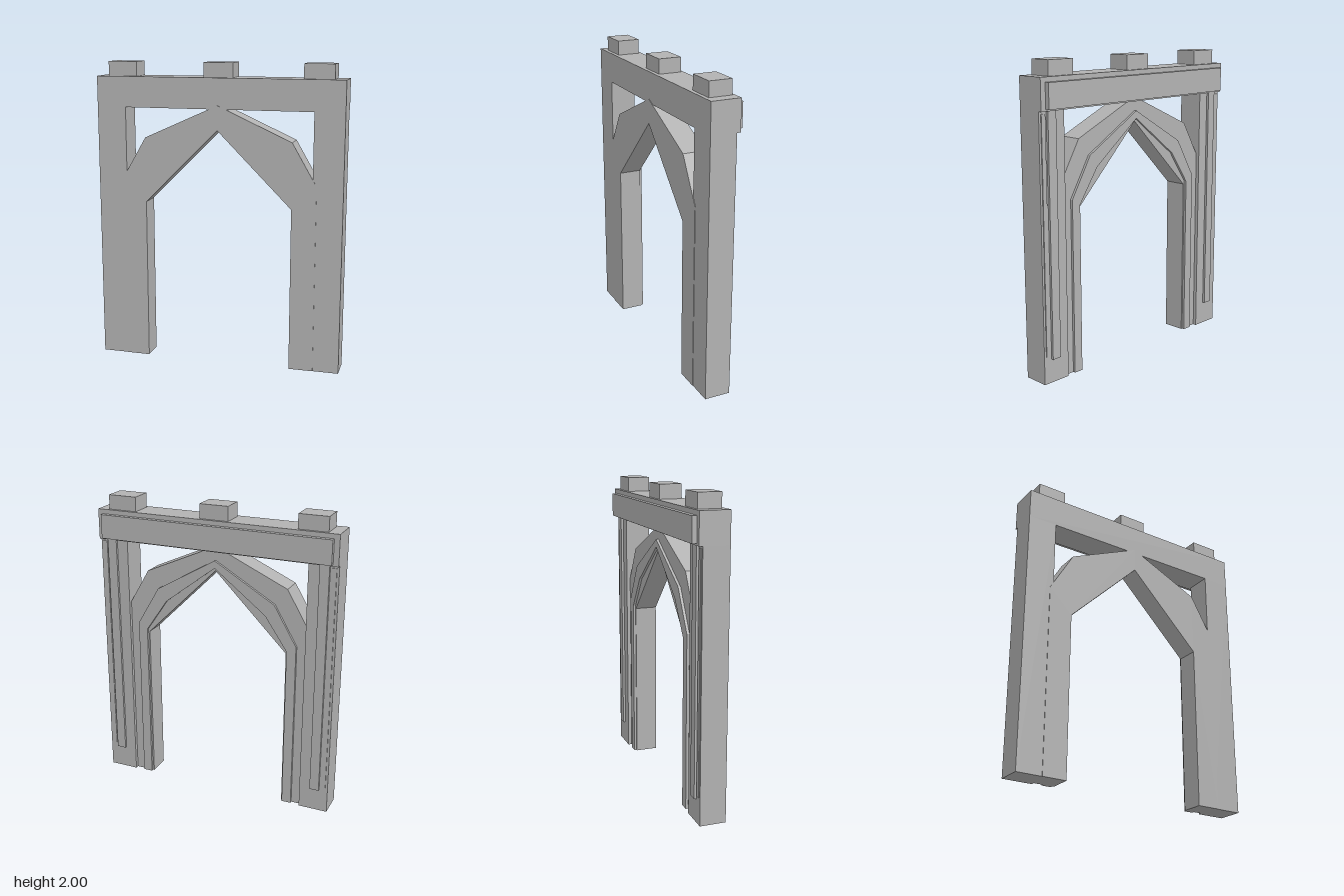
import * as THREE from 'three';

const stone = new THREE.MeshStandardMaterial({ color: 0xb2b2b2 });
stone.name = 'stone grey';

// Box given by its limits on each axis
function block(name, x0, x1, y0, y1, z0, z1) {
  const mesh = new THREE.Mesh(new THREE.BoxGeometry(x1 - x0, y1 - y0, z1 - z0), stone);
  mesh.position.set((x0 + x1) / 2, (y0 + y1) / 2, (z0 + z1) / 2);
  mesh.name = name;
  return mesh;
}

// Symmetric band: half profiles run from the foot to the apex (x = 0)
function archBand(name, outer, inner, z0, z1) {
  const full = half => [...half, ...half.slice(0, -1).reverse().map(([x, y]) => [-x, y])];
  const points = [...full(outer), ...full(inner).reverse()].map(([x, y]) => new THREE.Vector2(x, y));
  const geometry = new THREE.ExtrudeGeometry(new THREE.Shape(points), { depth: z1 - z0, bevelEnabled: false });
  geometry.translate(0, 0, z0);
  const mesh = new THREE.Mesh(geometry, stone);
  mesh.name = name;
  return mesh;
}

export function createModel() {
  const model = new THREE.Group();
  model.name = 'archway';

  // Lintel with a raised panel on its back
  model.add(block('lintel', -0.82, 0.82, 1.705, 1.905, -0.083, 0.11));
  model.add(block('lintelPanel', -0.785, 0.785, 1.717, 1.875, -0.113, -0.083));

  // Blocks on top of the lintel
  for (const x of [-0.648, 0, 0.648]) {
    model.add(block('topBlock', x - 0.097, x + 0.097, 1.905, 2, -0.064, 0.085));
  }

  // Columns, each with two strips on the back
  for (const side of [-1, 1]) {
    const mirrored = (name, a, b, ...rest) =>
      block(name, Math.min(side * a, side * b), Math.max(side * a, side * b), ...rest);
    model.add(mirrored('column', 0.625, 0.82, 0, 1.705, -0.06, 0.11));
    model.add(mirrored('outerStrip', 0.775, 0.805, 0.18, 1.69, -0.066, -0.06));
    model.add(mirrored('innerStrip', 0.70, 0.763, 0.157, 1.705, -0.076, -0.06));
  }

  // Main arch, with a pointed opening
  model.add(archBand('arch',
    [[0.65, 0], [0.65, 1.235], [0.49, 1.51], [0, 1.73]],
    [[0.49, 0], [0.49, 1.08], [0, 1.57]], -0.036, 0.113));

  // Moulding around the opening on the back
  model.add(archBand('archMoulding',
    [[0.563, 0], [0.563, 1.14], [0.41, 1.4], [0, 1.64]],
    [[0.5, 0], [0.5, 1.1], [0.35, 1.32], [0, 1.59]], -0.053, -0.036));

  return model;
}
